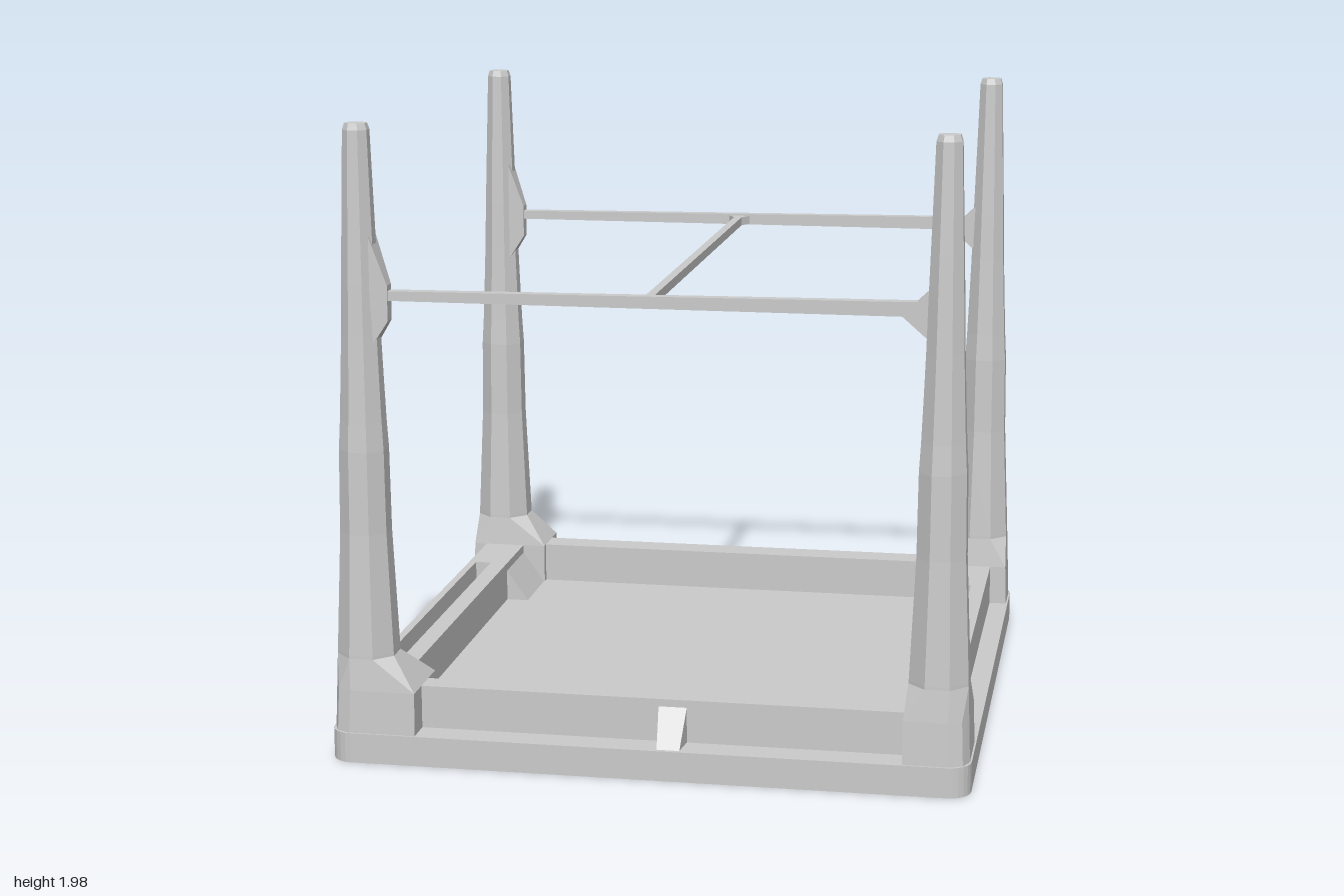
import * as THREE from 'three';
import { ConvexGeometry } from 'three/addons/geometries/ConvexGeometry.js';

const material = new THREE.MeshStandardMaterial({ color: 0xcccccc, flatShading: true });

export function createModel() {
  const model = new THREE.Group();
  model.name = 'upturnedTable';

  const add = (name, geometry) => {
    const mesh = new THREE.Mesh(geometry, material);
    mesh.name = name;
    model.add(mesh);
    return mesh;
  };
  // Box given by its low and high limits on each axis
  const box = (name, x0, x1, y0, y1, z0, z1) =>
    add(name, new THREE.BoxGeometry(x1 - x0, y1 - y0, z1 - z0)
      .translate((x0 + x1) / 2, (y0 + y1) / 2, (z0 + z1) / 2));
  const hull = (name, points) =>
    add(name, new ConvexGeometry(points.map((p) => new THREE.Vector3(...p))));

  // Table top lying face down, with softened corners
  const s = 0.995, r = 0.07;
  const outline = new THREE.Shape();
  outline.absarc(s - r, s - r, r, 0, Math.PI / 2);
  outline.absarc(-s + r, s - r, r, Math.PI / 2, Math.PI);
  outline.absarc(-s + r, -s + r, r, Math.PI, Math.PI * 1.5);
  outline.absarc(s - r, -s + r, r, Math.PI * 1.5, Math.PI * 2);
  const slab = new THREE.ExtrudeGeometry(outline, { depth: 0.095, bevelEnabled: false, curveSegments: 3 });
  add('tableTop', slab.rotateX(-Math.PI / 2));

  // Apron rails: solid at front and back, grooved at the sides
  const low = 0.09, top = 0.23;
  box('frontRail', -0.8, 0.8, low, top, 0.82, 0.9);
  box('backRail', -0.8, 0.8, low, top, -0.91, -0.81);
  box('rightRailOuter', -0.94, -0.915, low, top, -0.8, 0.8);
  box('rightRailInner', -0.86, -0.8, low, top, -0.8, 0.8);
  box('rightRailFill', -0.915, -0.86, low, top, -0.8, -0.53);
  box('leftRailOuter', 0.88, 0.93, low, top, -0.8, 0.8);
  box('leftRailInner', 0.8, 0.83, low, top, -0.8, 0.8);
  box('leftRailFill', 0.83, 0.88, low, top, -0.8, -0.53);
  box('leftRailFill', 0.83, 0.88, low, top, 0.33, 0.8);
  box('leftRailPad', 0.782, 0.8, low, top, -0.79, -0.53);

  // Sloping bracket beside the back right corner
  hull('cornerBracket', [-0.79, -0.53].flatMap((z) =>
    [[-0.86, low, z], [-0.86, top, z], [-0.82, top, z], [-0.72, low, z]]));
  // Wedge against the front rail
  hull('frontWedge', [[0.03, low, 0.89], [0.12, low, 0.89], [0.03, 0.22, 0.89], [0.12, 0.22, 0.89],
    [0.04, low, 0.985], [0.11, low, 0.985]]);

  // Corner blocks, each with its own inner reach, and tapered eight-sided legs
  const legX = 0.89, legZ = 0.885;
  const profile = [[0.092, 0.2], [0.09, 0.34], [0.079, 0.6], [0.074, 0.72], [0.071, 0.98], [0.066, 1.07],
    [0.061, 1.2], [0.056, 1.34], [0.052, 1.5], [0.048, 1.63], [0.038, 1.96], [0.032, 1.98], [0, 1.98]]
    .map(([w, y]) => new THREE.Vector2(w / Math.cos(Math.PI / 8), y));
  const corners = [[-1, 1, 0.72, 0.74], [1, 1, 0.79, 0.74], [-1, -1, 0.72, 0.785], [1, -1, 0.79, 0.785]];
  for (const [sx, sz, inX, inZ] of corners) {
    const points = [];
    for (const [y, out] of [[0.02, 0.992], [top, 0.984]]) {
      points.push([inX, y, inZ], [inX, y, out], [out, y, inZ],
        [out - 0.06, y, out], [out - 0.018, y, out - 0.018], [out, y, out - 0.06]);
    }
    for (let i = 0; i < 8; i++) {
      const a = (i + 0.5) * Math.PI / 4;
      points.push([legX + 0.098 * Math.cos(a), 0.33, legZ + 0.098 * Math.sin(a)]);
    }
    hull('cornerBlock', points.map(([x, y, z]) => [x * sx, y, z * sz]));
    const leg = add('leg', new THREE.LatheGeometry(profile, 8, Math.PI / 8));
    leg.position.set(sx * legX, 0, sz * legZ);
  }

  // Stretchers joining the leg pairs, with swellings and gussets at the legs
  for (const side of [1, -1]) {
    const z = side * 0.88, t = 0.018;
    hull('crossStretcher', [z - t, z + t].flatMap((w) =>
      [[-0.84, 1.443, w], [0.86, 1.443, w], [0.86, 1.488, w], [0, 1.476, w], [-0.84, 1.472, w]]));
    hull('stretcherJoint', [
      ...[z - 0.022, z + 0.022].flatMap((w) => [[-0.8, 1.38, w], [-0.8, 1.49, w]]),
      ...[z - 0.04, z + 0.04].flatMap((w) => [[-0.85, 1.3, w], [-0.85, 1.64, w]])]);
    hull('stretcherGusset', [z - 0.022, z + 0.022].flatMap((w) =>
      [[0.76, 1.445, w], [0.82, 1.488, w], [0.87, 1.55, w], [0.87, 1.35, w], [0.84, 1.375, w]]));
    // Small flare where the long stretcher meets the cross stretcher
    hull('stretcherFlare', [1.445, 1.474].flatMap((y) =>
      [[-0.05, y, z], [0.045, y, z], [0.01, y, side * 0.82], [-0.015, y, side * 0.82]]));
  }
  box('longStretcher', -0.016, 0.011, 1.445, 1.474, -0.87, 0.87);

  return model;
}
